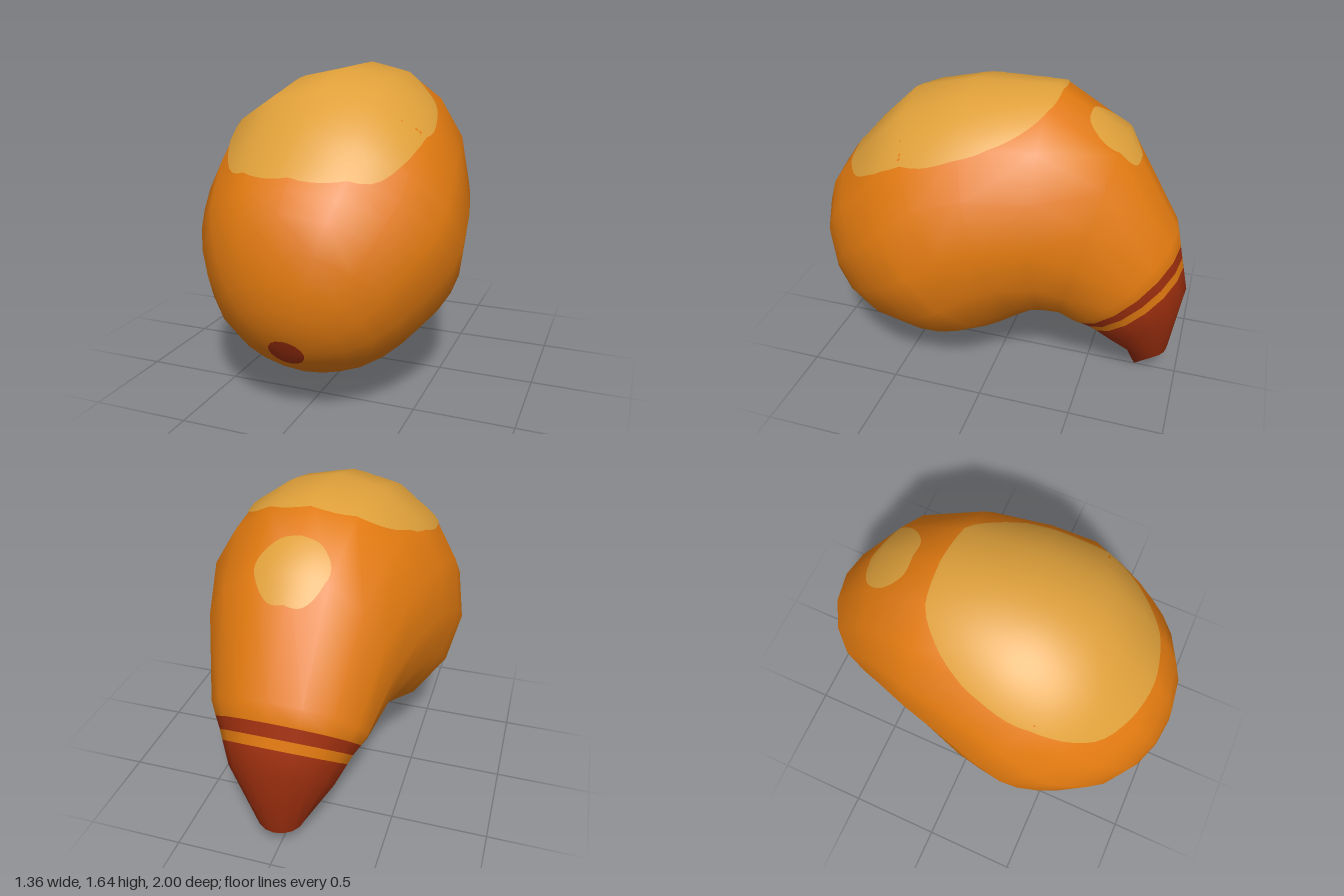
import * as THREE from 'three';

const SIDES = 16;

// Cross-sections from front to back: [top z, top y, bottom z, bottom y, half width]
const SECTIONS = [
  [0.93, 0.46, 0.84, 0.315, 0.09],
  [0.965, 0.53, 0.77, 0.26, 0.18],
  [0.99, 0.63, 0.69, 0.205, 0.27],
  [1.0, 0.76, 0.57, 0.16, 0.38],
  [0.98, 0.92, 0.43, 0.145, 0.48],
  [0.93, 1.06, 0.28, 0.15, 0.56],
  [0.86, 1.16, 0.14, 0.18, 0.62],
  [0.78, 1.24, 0.02, 0.23, 0.66],
  [0.68, 1.35, -0.06, 0.28, 0.68],
  [0.48, 1.54, -0.15, 0.34, 0.67],
  [0.16, 1.62, -0.22, 0.38, 0.625],
  [-0.26, 1.63, -0.3, 0.385, 0.56],
  [-0.62, 1.43, -0.35, 0.375, 0.48],
  [-0.92, 0.93, -0.39, 0.36, 0.395],
  [-0.943, 0.835, -0.42, 0.35, 0.365], // first band starts
  [-0.958, 0.765, -0.465, 0.33, 0.335], // first band ends
  [-0.97, 0.71, -0.505, 0.305, 0.315], // dark tip starts
  [-1.0, 0.58, -0.59, 0.24, 0.265],
  [-0.94, 0.16, -0.7, 0.16, 0.12],
];
const NOSE = [0, 0.385, 0.892];
const TIP = [0, 0, -0.77];

// Bent, tapering body; the material changes at whole cross-sections
function bodyGeometry() {
  const pos = [...NOSE], index = [];
  for (const [tz, ty, bz, by, w] of SECTIONS) {
    const cy = (ty + by) / 2, cz = (tz + bz) / 2;
    for (let j = 0; j < SIDES; j++) {
      const a = (j / SIDES) * Math.PI * 2, c = Math.cos(a);
      pos.push(w * Math.sin(a), cy + (ty - cy) * c, cz + (tz - cz) * c);
    }
  }
  pos.push(...TIP);
  const id = (i, j) => 1 + i * SIDES + (j % SIDES);
  const last = SECTIONS.length - 1, tip = pos.length / 3 - 1;
  const geo = new THREE.BufferGeometry();

  for (let j = 0; j < SIDES; j++) index.push(0, id(0, j + 1), id(0, j));
  geo.addGroup(0, index.length, 1); // nose spot
  for (let i = 0; i < last; i++) {
    const start = index.length;
    for (let j = 0; j < SIDES; j++) {
      index.push(id(i, j), id(i, j + 1), id(i + 1, j));
      index.push(id(i, j + 1), id(i + 1, j + 1), id(i + 1, j));
    }
    geo.addGroup(start, index.length - start, i === 14 || i >= 16 ? 1 : 0);
  }
  const start = index.length;
  for (let j = 0; j < SIDES; j++) index.push(id(last, j), id(last, j + 1), tip);
  geo.addGroup(start, index.length - start, 1);

  geo.setAttribute('position', new THREE.Float32BufferAttribute(pos, 3));
  geo.setIndex(index);
  geo.computeVertexNormals();
  return geo;
}

// Thin patch draped from above; half outline of [x, z], mirrored in x
function patchGeometry(body, half) {
  const mirrored = half.slice(1, -1).reverse().map(([x, z]) => [-x, z]);
  const outline = new THREE.CatmullRomCurve3(
    [...half, ...mirrored].map(([x, z]) => new THREE.Vector3(x, 5, z)), true);
  const SEG = 64, RINGS = 18;
  const edge = outline.getSpacedPoints(SEG).slice(0, SEG);
  const centre = new THREE.Vector3(0, 5, (half[0][1] + half[half.length - 1][1]) / 2);
  const ray = new THREE.Raycaster(), down = new THREE.Vector3(0, -1, 0);
  const pos = [], nor = [], index = [];
  const drape = (p) => {
    ray.set(p, down);
    const hit = ray.intersectObject(body)[0];
    const n = hit.normal.clone().normalize();
    pos.push(...hit.point.addScaledVector(n, 0.006).toArray());
    nor.push(...n.toArray());
  };
  // a tiny shift keeps rays off the shared mesh edges
  const shift = new THREE.Vector3(0.0003, 0, 0.0002);
  drape(centre.clone().add(shift));
  for (let r = 1; r <= RINGS; r++)
    for (const e of edge) drape(centre.clone().lerp(e, r / RINGS).add(shift));
  const id = (r, s) => (r === 0 ? 0 : 1 + (r - 1) * SEG + (s % SEG));
  for (let r = 0; r < RINGS; r++)
    for (let s = 0; s < SEG; s++) {
      // outline runs from the back over +x to the front: reversed for upward faces
      index.push(id(r, s), id(r + 1, s + 1), id(r + 1, s));
      if (r > 0) index.push(id(r, s), id(r, s + 1), id(r + 1, s + 1));
    }
  const geo = new THREE.BufferGeometry();
  geo.setAttribute('position', new THREE.Float32BufferAttribute(pos, 3));
  geo.setAttribute('normal', new THREE.Float32BufferAttribute(nor, 3));
  geo.setIndex(index);
  return geo;
}

export function createModel() {
  const material = (name, color) => {
    const m = new THREE.MeshStandardMaterial({ color });
    m.name = name;
    return m;
  };
  const orange = material('orange', 0xe27a10);
  const darkRed = material('dark red', 0xa0300f);
  const gold = material('gold', 0xdfa03a);

  const group = new THREE.Group();
  group.name = 'bentGourd';
  const body = new THREE.Mesh(bodyGeometry(), [orange, darkRed]);
  body.name = 'body';
  body.updateMatrixWorld();
  group.add(body);

  const patches = {
    largeTopPatch: [[0, -0.29], [0.12, -0.285], [0.23, -0.26], [0.35, -0.15], [0.44, 0], [0.48, 0.14],
      [0.5, 0.28], [0.49, 0.41], [0.45, 0.55], [0.36, 0.69], [0.24, 0.77], [0.12, 0.81], [0, 0.825]],
    smallBackPatch: [[0, -0.695], [0.09, -0.68], [0.165, -0.61], [0.175, -0.55], [0.15, -0.495],
      [0.09, -0.445], [0, -0.44]],
  };
  for (const [name, half] of Object.entries(patches)) {
    const patch = new THREE.Mesh(patchGeometry(body, half), gold);
    patch.name = name;
    group.add(patch);
  }
  return group;
}
